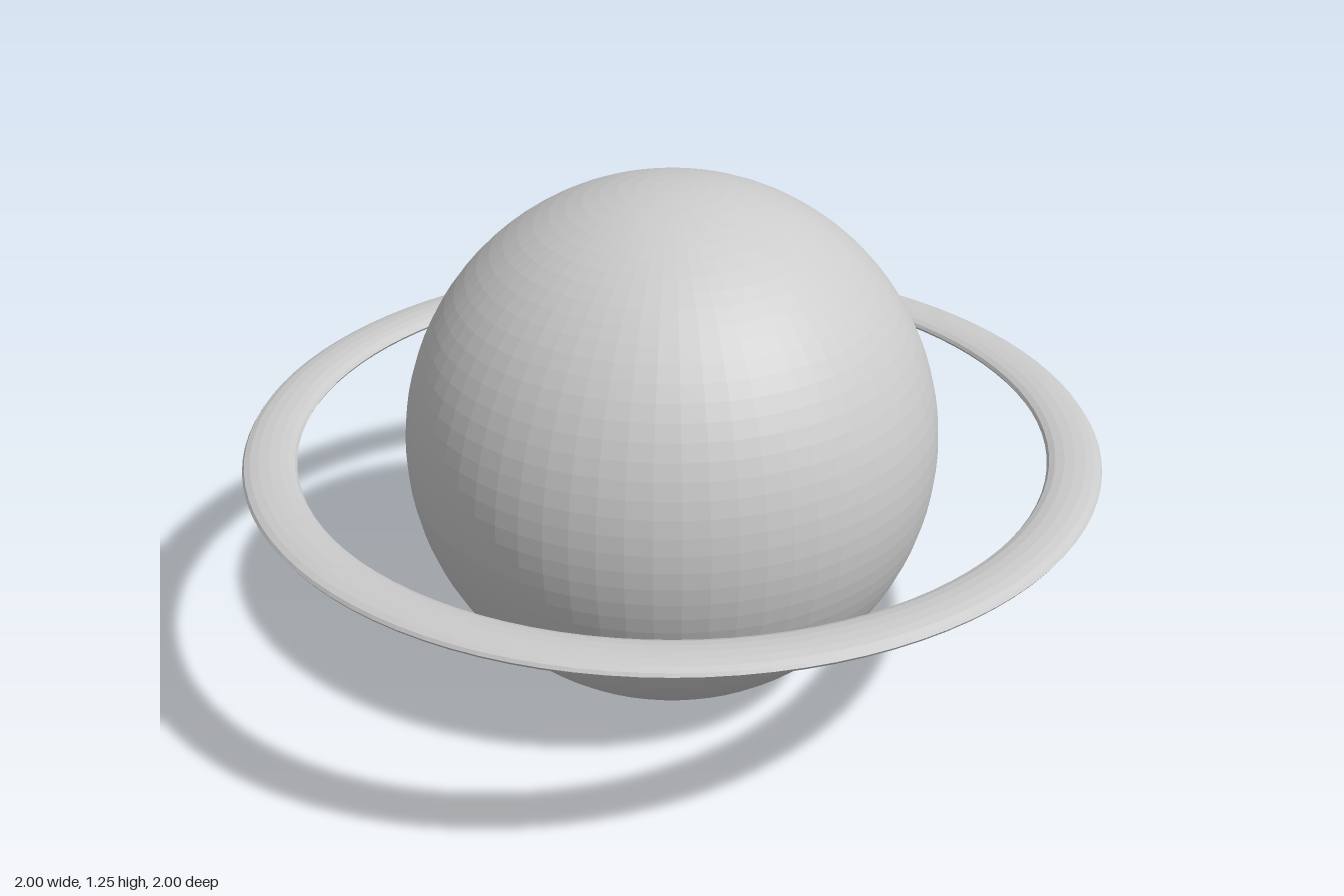
import * as THREE from 'three';

export function createModel() {
  const group = new THREE.Group();
  group.name = 'ringedPlanet';
  const material = new THREE.MeshStandardMaterial({ color: 0xcccccc, flatShading: true });
  const radius = 0.625;

  // Faceted globe resting on the ground
  const planet = new THREE.Mesh(new THREE.SphereGeometry(radius, 64, 48), material);
  planet.name = 'planet';
  planet.position.y = radius;
  group.add(planet);

  // Flattened torus floating around the equator
  const ringGeometry = new THREE.TorusGeometry(0.9375, 0.0625, 16, 96);
  ringGeometry.rotateX(-Math.PI / 2);
  ringGeometry.scale(1, 0.3, 1);
  const ring = new THREE.Mesh(ringGeometry, material);
  ring.name = 'ring';
  ring.position.y = radius;
  group.add(ring);

  return group;
}
